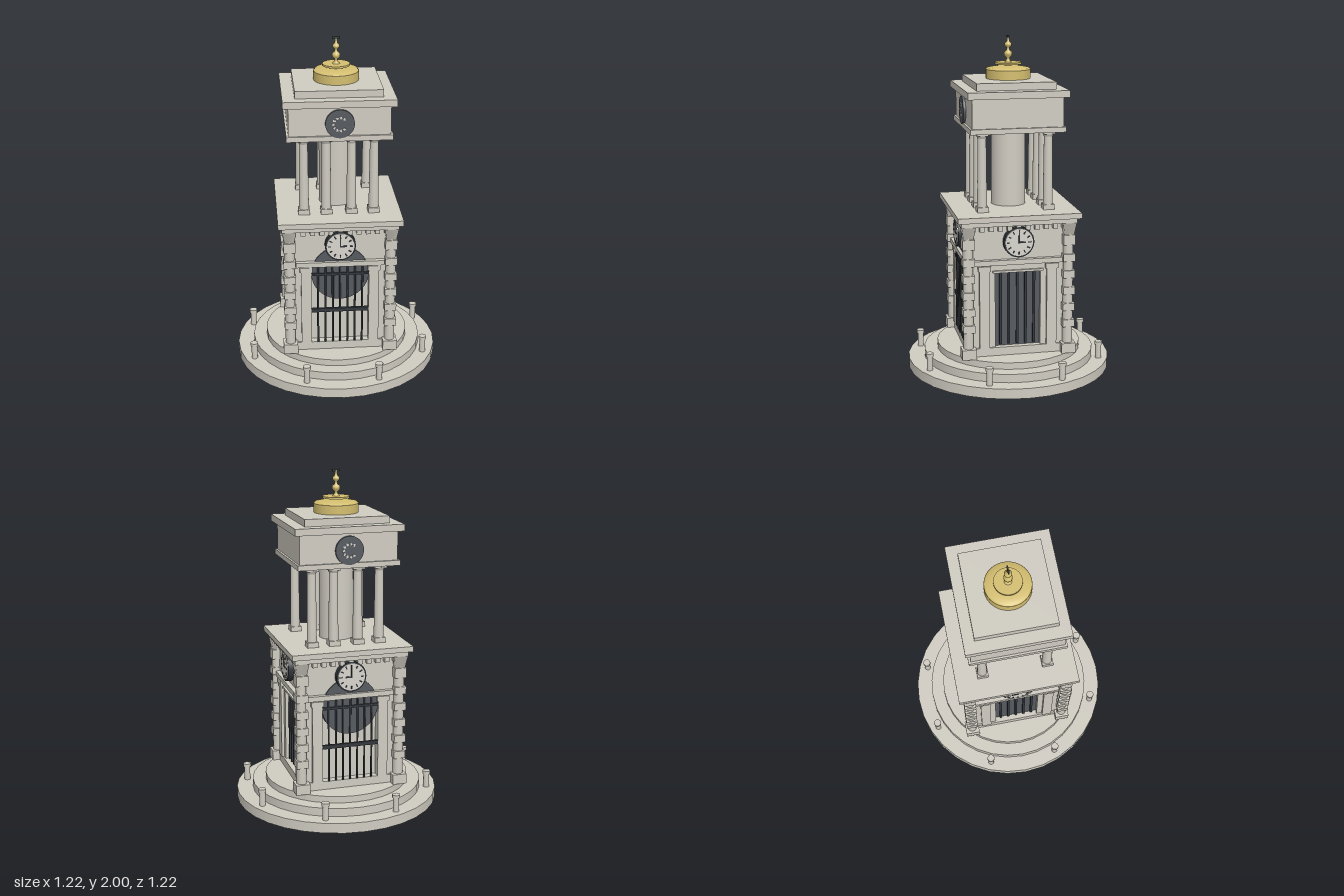
import * as THREE from 'three';

const mat = (name, color) => {
  const m = new THREE.MeshStandardMaterial({ color });
  m.name = name;
  return m;
};

export function createModel() {
  const stone = mat('stone', 0xd0ccc2);
  const dial = mat('clock dial', 0xd8d5cd);
  const slate = mat('slate', 0x565b60);
  const iron = mat('dark iron', 0x33373c);
  const gold = mat('gold', 0xd4be70);

  const model = new THREE.Group();
  model.name = 'clockTower';

  const add = (parent, name, geo, material, x = 0, y = 0, z = 0) => {
    const mesh = new THREE.Mesh(geo, material);
    mesh.name = name;
    mesh.position.set(x, y, z);
    parent.add(mesh);
    return mesh;
  };
  // Box given by centre x, z and its bottom and top heights
  const block = (parent, name, w, y0, y1, d, x = 0, z = 0, m = stone) =>
    add(parent, name, new THREE.BoxGeometry(w, y1 - y0, d), m, x, (y0 + y1) / 2, z);
  const post = (parent, name, r, y0, y1, x = 0, z = 0, m = stone, seg = 16, rTop = r) =>
    add(parent, name, new THREE.CylinderGeometry(rTop, r, y1 - y0, seg), m, x, (y0 + y1) / 2, z);
  // Round plate facing +z between depths z0 and z1
  const disc = (parent, name, r, y, z0, z1, m) => {
    const geo = new THREE.CylinderGeometry(r, r, z1 - z0, 32).rotateX(Math.PI / 2);
    return add(parent, name, geo, m, 0, y, (z0 + z1) / 2);
  };

  // Round steps and the ring of bollards
  post(model, 'lowerStep', 0.612, 0, 0.06, 0, 0, stone, 32);
  post(model, 'middleStep', 0.515, 0.06, 0.11, 0, 0, stone, 32);
  post(model, 'upperStep', 0.435, 0.11, 0.15, 0, 0, stone, 32);
  for (let i = 0; i < 8; i++) {
    const a = (i + 0.5) * Math.PI / 4;
    const x = 0.558 * Math.cos(a), z = 0.558 * Math.sin(a);
    post(model, 'bollard', 0.018, 0.06, 0.145, x, z);
    post(model, 'bollardCap', 0.023, 0.145, 0.165, x, z);
  }

  // Solid core of the lower storey
  block(model, 'core', 0.5, 0.15, 0.95, 0.5);
  block(model, 'plinth', 0.59, 0.15, 0.2, 0.59);

  // Corner shafts with banded blocks
  for (const sx of [-1, 1]) for (const sz of [-1, 1]) {
    const x = sx * 0.297, z = sz * 0.297;
    block(model, 'cornerBase', 0.085, 0.15, 0.21, 0.085, x, z);
    post(model, 'cornerShaft', 0.03, 0.21, 0.9, x, z);
    for (let i = 0; i < 7; i++) {
      const y = 0.21 + i * 0.1;
      if (i > 0) block(model, 'cornerBlock', 0.07, y, y + 0.045, 0.07, x, z);
    }
    block(model, 'cornerBlock', 0.07, 0.81, 0.87, 0.07, x, z);
    const flare = post(model, 'cornerCapital', 0.04, 0.87, 0.945, x, z, stone, 4, 0.058);
    flare.geometry.rotateY(Math.PI / 4);
  }

  // Wall panel with a rectangular opening
  const wallGeometry = (halfOpening, top) => {
    const s = new THREE.Shape();
    s.moveTo(-0.284, 0.15).lineTo(0.284, 0.15).lineTo(0.284, 0.95).lineTo(-0.284, 0.95).closePath();
    const h = new THREE.Path();
    h.moveTo(-halfOpening, 0.2).lineTo(-halfOpening, top).lineTo(halfOpening, top).lineTo(halfOpening, 0.2).closePath();
    s.holes.push(h);
    return new THREE.ExtrudeGeometry(s, { depth: 0.05, bevelEnabled: false });
  };

  const makeClock = (side, handDir) => {
    const clock = new THREE.Group();
    clock.name = 'clock';
    clock.position.set(0, 0.84, 0);
    side.add(clock);
    disc(clock, 'clockRim', 0.09, 0, 0.27, 0.318, iron);
    disc(clock, 'clockDial', 0.081, 0, 0.31, 0.322, dial);
    for (let i = 0; i < 12; i++) {
      const a = i * Math.PI / 6;
      const tick = add(clock, 'hourMark', new THREE.BoxGeometry(0.007, 0.017, 0.004), iron,
        0.064 * Math.sin(a), 0.064 * Math.cos(a), 0.323);
      tick.rotation.z = -a;
    }
    add(clock, 'minuteHand', new THREE.BoxGeometry(0.007, 0.062, 0.004), iron, 0, 0.026, 0.324);
    add(clock, 'hourHand', new THREE.BoxGeometry(0.042, 0.008, 0.004), iron, handDir * 0.017, 0, 0.324);
  };

  // Four sides: gates at front and back, doors left and right
  for (let i = 0; i < 4; i++) {
    const side = new THREE.Group();
    side.name = ['frontSide', 'leftSide', 'backSide', 'rightSide'][i];
    side.rotation.y = i * Math.PI / 2;
    model.add(side);
    const gate = i % 2 === 0;

    add(side, 'wall', gate ? wallGeometry(0.17, 0.7) : wallGeometry(0.135, 0.66), stone, 0, 0, 0.235);
    for (const s of [-1, 1]) {
      block(side, 'pilaster', 0.06, 0.2, 0.69, 0.025, s * 0.2, 0.29);
      block(side, 'pilasterCap', 0.075, 0.67, 0.7, 0.035, s * 0.2, 0.29);
    }
    block(side, 'lintel', 0.52, 0.705, 0.735, 0.045, 0, 0.29);
    for (let k = 0; k < 11; k++) block(side, 'dentil', 0.028, 0.91, 0.945, 0.035, (k - 5) * 0.054, 0.3);

    if (gate) {
      disc(side, 'gateRoundel', 0.17, 0.655, 0.25, 0.294, slate);
      for (let k = -3; k <= 3; k++) post(side, 'gateBar', 0.006, 0.2, 0.7, k * 0.0437, 0.296, iron, 8);
      block(side, 'gateRail', 0.34, 0.405, 0.428, 0.016, 0, 0.296, iron);
      block(side, 'gateTopRail', 0.34, 0.645, 0.66, 0.016, 0, 0.294, iron);
    } else {
      block(side, 'doorPanel', 0.27, 0.2, 0.66, 0.02, 0, 0.25, slate);
      for (let k = -2; k <= 2; k++) block(side, 'doorBar', 0.014, 0.21, 0.65, 0.014, k * 0.05, 0.265, iron);
      block(side, 'doorHeader', 0.3, 0.655, 0.668, 0.025, 0, 0.285);
    }
    makeClock(side, i < 2 ? 1 : -1);
  }

  // Main cornice
  block(model, 'corniceBed', 0.68, 0.943, 0.975, 0.68);
  block(model, 'corniceTop', 0.724, 0.973, 1.005, 0.724);

  // Open belvedere: central drum and two rows of columns
  post(model, 'centralDrum', 0.102, 1.005, 1.47, 0, 0, stone, 32);
  for (const z of [-0.195, 0.195]) for (const x of [-0.203, -0.073, 0.073, 0.203]) {
    block(model, 'columnBase', 0.066, 1.005, 1.035, 0.066, x, z);
    post(model, 'column', 0.029, 1.035, 1.44, x, z, stone, 20, 0.025);
    post(model, 'columnNeck', 0.026, 1.435, 1.455, x, z, stone, 20, 0.035);
    block(model, 'columnCapital', 0.07, 1.45, 1.47, 0.066, x, z);
  }

  // Attic block and stepped roof
  block(model, 'atticBase', 0.605, 1.47, 1.5, 0.555);
  block(model, 'attic', 0.58, 1.5, 1.67, 0.53);
  block(model, 'atticCornice', 0.642, 1.67, 1.71, 0.587);
  block(model, 'roofStep', 0.5, 1.71, 1.752, 0.462);

  // Wreath medallions on the front and back of the attic
  for (const turn of [0, Math.PI]) {
    const medallion = new THREE.Group();
    medallion.name = 'medallion';
    medallion.rotation.y = turn;
    model.add(medallion);
    disc(medallion, 'medallionDisc', 0.083, 1.572, 0.255, 0.28, slate);
    for (let k = 0; k < 9; k++) {
      const a = Math.PI * (0.28 + k * 0.18);
      const leaf = add(medallion, 'wreathLeaf', new THREE.BoxGeometry(0.015, 0.011, 0.006), dial,
        0.038 * Math.cos(a), 1.572 + 0.038 * Math.sin(a), 0.281);
      leaf.rotation.z = a + 0.5;
    }
  }

  // Gold cupola
  const lathe = (name, pts, seg) =>
    add(model, name, new THREE.LatheGeometry(pts.map(p => new THREE.Vector2(...p)), seg), gold);
  post(model, 'cupolaDrum', 0.131, 1.75, 1.805, 0, 0, gold, 32);
  lathe('cupolaDome', [[0.131, 1.804], [0.122, 1.814], [0.09, 1.82], [0.03, 1.826], [0, 1.827]], 32);
  post(model, 'finialNeck', 0.022, 1.82, 1.837, 0, 0, gold);
  post(model, 'finialPlate', 0.079, 1.834, 1.845, 0, 0, gold, 32);

  // Beaded finial and small vane
  lathe('finial', [[0.022, 1.845], [0.012, 1.855], [0.009, 1.87], [0.024, 1.885], [0.024, 1.902], [0.009, 1.915],
    [0.009, 1.93], [0.021, 1.94], [0.021, 1.952], [0.008, 1.965], [0.006, 1.99], [0, 1.992]], 16);
  block(model, 'vane', 0.045, 1.987, 2.0, 0.008, 0, 0, iron);
  return model;
}
